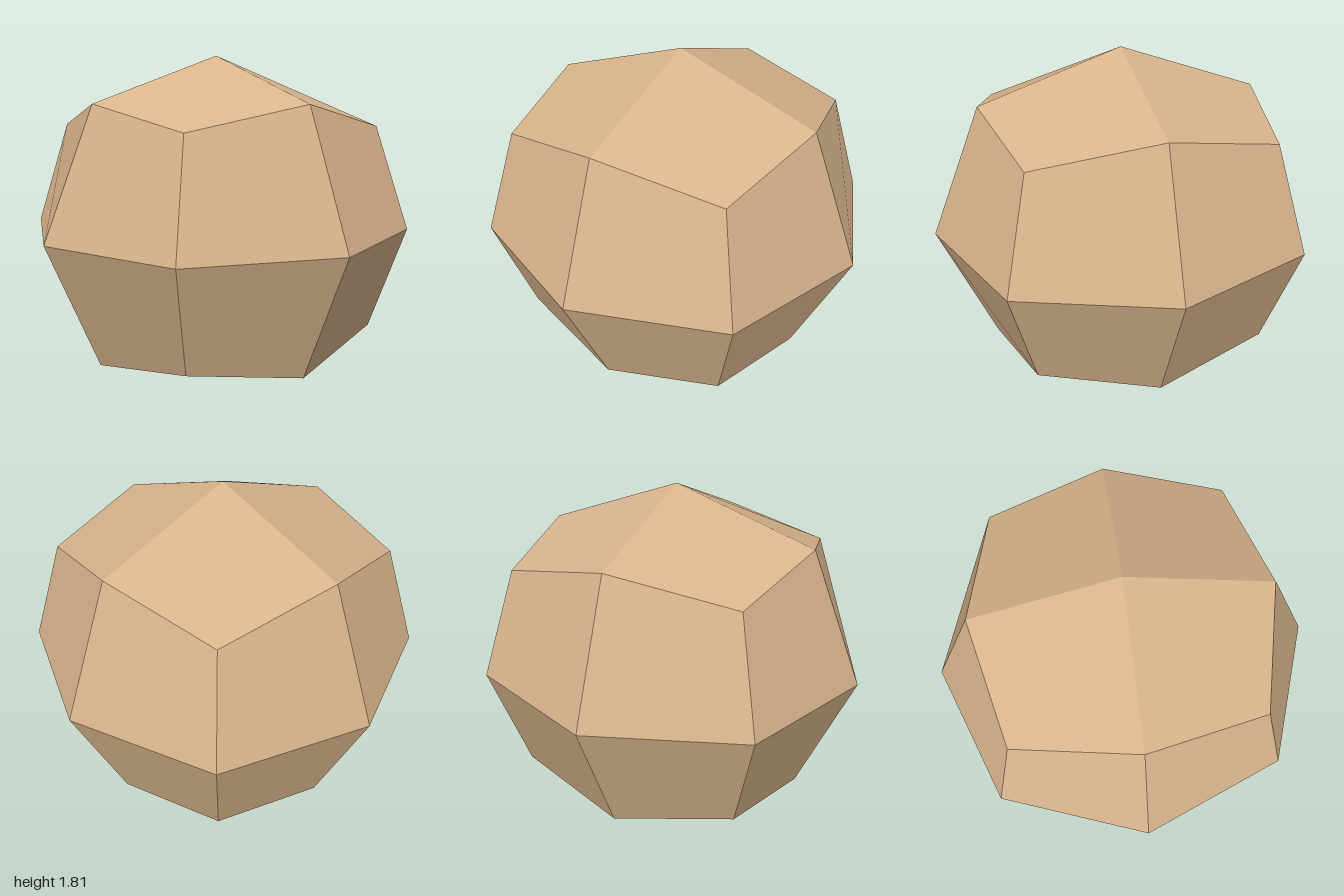
import * as THREE from 'three';

// Faceted ball: 24 kite-shaped facets, three in each octant.
const HALF_HEIGHT = 0.905; // the ball is slightly squashed in y
const EDGE = 0.727; // coordinate of the vertices between two axes
const CORNER = 0.598; // coordinate of the vertices between three axes

export function createModel() {
  const positions = [];
  const normals = [];

  for (const sx of [1, -1]) for (const sy of [1, -1]) for (const sz of [1, -1]) {
    const point = (x, y, z) =>
      new THREE.Vector3(x * sx, HALF_HEIGHT * (1 + y * sy), z * sz);
    const corner = point(CORNER, CORNER, CORNER);
    const tips = [point(1, 0, 0), point(0, 1, 0), point(0, 0, 1)];
    const edges = [point(EDGE, EDGE, 0), point(0, EDGE, EDGE), point(EDGE, 0, EDGE)];

    // One kite around each axis tip, wound outward also in mirrored octants
    for (let i = 0; i < 3; i++) {
      const tip = tips[i];
      let a = edges[i];
      let b = edges[(i + 2) % 3];
      if (sx * sy * sz < 0) [a, b] = [b, a];
      const normal = corner.clone().sub(tip).cross(b.clone().sub(a)).normalize();
      for (const p of [tip, a, corner, tip, corner, b]) {
        positions.push(p.x, p.y, p.z);
        normals.push(normal.x, normal.y, normal.z);
      }
    }
  }

  const geometry = new THREE.BufferGeometry();
  geometry.setAttribute('position', new THREE.Float32BufferAttribute(positions, 3));
  geometry.setAttribute('normal', new THREE.Float32BufferAttribute(normals, 3));

  const tan = new THREE.MeshStandardMaterial({ color: 0xd8b48c });
  tan.name = 'tan';
  const ball = new THREE.Mesh(geometry, tan);
  ball.name = 'facetedBall';

  const model = new THREE.Group();
  model.name = 'facetedStone';
  model.add(ball);
  return model;
}
